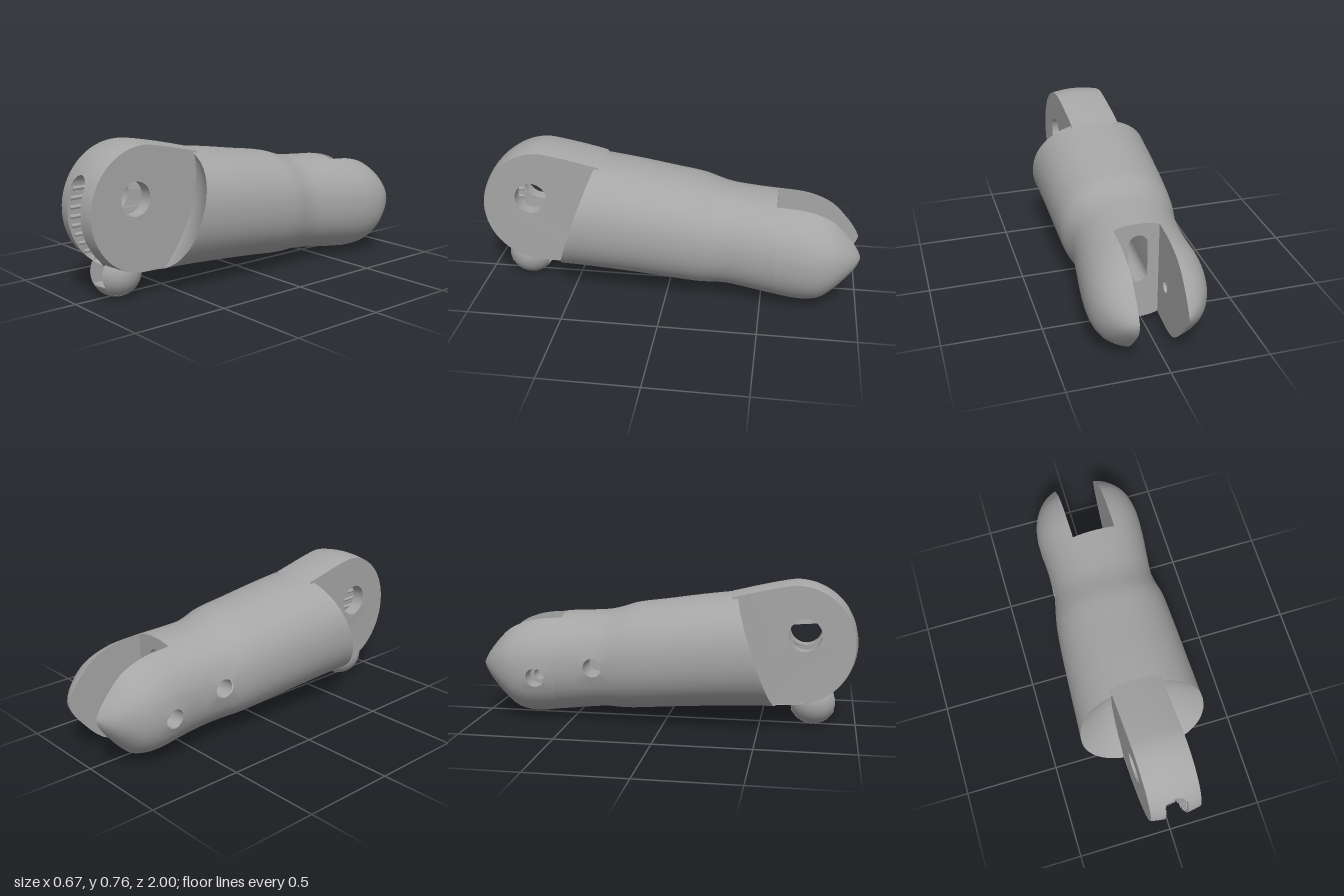
import * as THREE from 'three';
import { toCreasedNormals, mergeGeometries } from 'three/addons/utils/BufferGeometryUtils.js';

const grey = new THREE.MeshStandardMaterial({ color: 0xa6a6a6, side: THREE.DoubleSide });
grey.name = 'plain grey';

// Body cross-sections: z, x min, x max, y min, y max
const SECTIONS = [
  [-1, -.08, .16, .27, .30], [-.985, -.105, .195, .22, .345], [-.94, -.16, .25, .16, .405],
  [-.87, -.21, .30, .08, .48], [-.8, -.24, .326, .025, .52], [-.7, -.255, .335, .01, .548],
  [-.565, -.25, .325, .025, .56], [-.45, -.25, .31, .04, .567], [-.32, -.26, .295, .055, .578],
  [-.25, -.275, .30, .054, .595], [-.17, -.29, .315, .055, .62], [0, -.307, .32, .07, .645],
  [.2, -.32, .322, .085, .675], [.45, -.335, .325, .10, .705], [.6, -.345, .33, .105, .72],
];
const E = 0.91, FLOOR = -.565, FRONT = .2, COLS = 24;
const WALL = { '-1': -.078, '1': .155 };

// Smoothly interpolated section at z
function section(z) {
  const S = SECTIONS, last = S.length - 1;
  let i = 0;
  while (i < last - 1 && z > S[i + 1][0]) i++;
  const slope = (k, c) => {
    const a = S[Math.max(k - 1, 0)], b = S[Math.min(k + 1, last)];
    return (b[c] - a[c]) / (b[0] - a[0]);
  };
  const h = S[i + 1][0] - S[i][0], t = (z - S[i][0]) / h, t2 = t * t, t3 = t2 * t;
  const [xl, xr, yb, yt] = [1, 2, 3, 4].map(c =>
    (2 * t3 - 3 * t2 + 1) * S[i][c] + (t3 - 2 * t2 + t) * h * slope(i, c) +
    (3 * t2 - 2 * t3) * S[i + 1][c] + (t3 - t2) * h * slope(i + 1, c));
  return { cx: (xl + xr) / 2, rx: (xr - xl) / 2, cy: (yb + yt) / 2, ry: (yt - yb) / 2 };
}
const spow = v => Math.sign(v) * Math.abs(v) ** E;
function skinPoint(z, t, s) {
  const q = section(z);
  return [q.cx + s * q.rx * spow(Math.max(Math.cos(t), 0)), q.cy + q.ry * spow(Math.sin(t)), z];
}
function skinX(z, y, s) {
  const q = section(z), v = Math.abs((y - q.cy) / q.ry), n = 2 / E;
  return q.cx + s * q.rx * Math.max(0, 1 - v ** n) ** (1 / n);
}
// Angle at which the section meets the fork wall
function clipAngle(z, s) {
  const q = section(z), c = s * (WALL[s] - q.cx) / q.rx;
  return Math.acos(Math.min(Math.max(c, 0), 1) ** (1 / E));
}
const frontZ = y => .38 + (.70 - y) * .34;

// Quad grid from a point function
function grid(rows, cols, fn, flip = false, skip = () => false) {
  const pos = [], idx = [];
  for (let i = 0; i <= rows; i++) for (let j = 0; j <= cols; j++) pos.push(...fn(i, j));
  for (let i = 0; i < rows; i++) for (let j = 0; j < cols; j++) {
    if (skip(i, j)) continue;
    const a = i * (cols + 1) + j, b = a + 1, c = a + cols + 1, d = c + 1;
    idx.push(...(flip ? [a, c, b, b, c, d] : [a, b, c, b, d, c]));
  }
  const g = new THREE.BufferGeometry();
  g.setAttribute('position', new THREE.Float32BufferAttribute(pos, 3));
  g.setIndex(idx);
  return g.toNonIndexed();
}
// Grid with a round opening, radius r, centred on vertex (i0, j0)
function holedGrid(rows, fn, s, hole) {
  if (!hole) return grid(rows, COLS, fn, s < 0);
  const { i0, j0, r } = hole, [, y0, z0] = fn(i0, j0);
  return grid(rows, COLS, (i, j) => {
    const di = i - i0, dj = j - j0;
    if (Math.max(Math.abs(di), Math.abs(dj)) !== 2) return fn(i, j);
    const a = Math.atan2(dj, di), z = z0 + r * Math.cos(a), y = y0 + r * Math.sin(a);
    return [skinX(z, y, s), y, z];
  }, s < 0, (i, j) => i >= i0 - 2 && i < i0 + 2 && j >= j0 - 2 && j < j0 + 2);
}
// Flat shape drawn in (z, y), standing at x
function plate(points, x, hole) {
  const shape = new THREE.Shape(points.map(p => new THREE.Vector2(p[0], p[1])));
  if (hole) shape.holes.push(new THREE.Path().absarc(hole[0], hole[1], hole[2], 0, Math.PI * 2, true));
  const g = new THREE.ShapeGeometry(shape, 24), p = g.attributes.position;
  for (let i = 0; i < p.count; i++) p.setXYZ(i, x, p.getY(i), p.getX(i));
  return g.toNonIndexed();
}
function tubeX(r, x0, x1, y, z) {
  return new THREE.CylinderGeometry(r, r, Math.abs(x1 - x0), 28, 1, true)
    .rotateZ(Math.PI / 2).translate((x0 + x1) / 2, y, z);
}
// Slight sideways bend of the tongue and tunnel
const bend = z => z > .4 ? .035 * (z - .7) : -.0105 + (.4 - z) * .04;
function bent(g) {
  const p = g.attributes.position;
  for (let i = 0; i < p.count; i++) p.setX(i, p.getX(i) + bend(p.getZ(i)));
  return g;
}

// Tongue rim: round nose running into the body, with a crowned edge
const CZ = .675, CY = .44, R = .325, HALF = .13, SLOT = .058;
function rim(v, x) {
  const d = Math.abs(v) - Math.PI / 2, k = 1 - .045 * (x / HALF) ** 2;
  let z = CZ + R * Math.cos(v), y = CY + R * Math.sin(v);
  if (d > 0) {
    z = CZ - R * d;
    y = v > 0 ? CY + R - .08 * (d / 1.15) ** 1.2 : CY - R - .013 * d;
  }
  return [x, CY + (y - CY) * k, CZ + (z - CZ) * k];
}
const slotEnd = (x, up) => {
  const arc = Math.sqrt(Math.max(0, SLOT * SLOT - x * x));
  return Math.asin(((up > 0 ? .562 + arc : .228 - arc) - CY) / R);
};
const lerp = THREE.MathUtils.lerp;

export function createModel() {
  const group = new THREE.Group();
  const add = (name, parts) => {
    const clean = parts.map(p => {
      const g = p.index ? p.toNonIndexed() : p;
      g.deleteAttribute('uv'); g.deleteAttribute('normal');
      return g;
    });
    const g = mergeGeometries(clean);
    g.computeVertexNormals();
    const mesh = new THREE.Mesh(toCreasedNormals(g, .6), grey);
    mesh.name = name;
    group.add(mesh);
  };

  const earZ = i => -1 + (1 + FLOOR) * (i / 16) ** 1.3;
  const earPt = s => (i, j) => skinPoint(earZ(i), (2 * j / COLS - 1) * clipAngle(earZ(i), s), s);
  const bodyPt = s => (i, j) => {
    const t = (j / COLS - .5) * Math.PI;
    if (i <= 22) return skinPoint(lerp(FLOOR, FRONT, i / 22), t, s);
    const y = skinPoint(.44, t, s)[1];
    return skinPoint(lerp(FRONT, frontZ(y), (i - 22) / 8), t, s);
  };
  const earHole = { i0: 13, j0: 11, r: .05 }, sideHole = { i0: 6, j0: 12, r: .05 };
  const [, hy, hz] = earPt(-1)(earHole.i0, earHole.j0);
  const [sx, sy, sz] = bodyPt(-1)(sideHole.i0, sideHole.j0);

  // Outer sleeve and its dished front face
  add('body', [-1, 1].map(s => holedGrid(30, bodyPt(s), s, s < 0 && sideHole)));
  add('frontDish', [-1, 1].map(s => grid(6, COLS, (i, j) => {
    const [x, y, z] = bodyPt(s)(30, j), f = i / 6;
    const inner = s * Math.min(Math.abs(x), .11);
    const bow = Math.max(0, 1 - ((y - .4) / .3) ** 2);
    return [lerp(x, inner, f), y, z - .09 * bow * Math.sin(f * Math.PI / 2)];
  }, s < 0)));

  // Rear fork: rounded ears with flat inner walls
  for (const s of [-1, 1]) {
    const top = [], bottom = [];
    for (let i = 0; i <= 16; i++) {
      const z = earZ(i), T = clipAngle(z, s);
      if (T < .02) continue;
      top.push([z, skinPoint(z, T, s)[1]]);
      bottom.unshift([z, skinPoint(z, -T, s)[1]]);
    }
    add(s > 0 ? 'leftEar' : 'rightEar', [
      holedGrid(16, earPt(s), s, s < 0 && earHole),
      plate([...top, ...bottom], WALL[s], [hz, hy, .03]),
    ]);
  }
  // Counterbored pin hole, blind hole and side hole
  const disc = (r0, r1, x, y, z) => new THREE.RingGeometry(r0, r1, 28).rotateY(-Math.PI / 2).translate(x, y, z);
  add('earHoles', [
    tubeX(.05, -.25, -.16, hy, hz), disc(.03, .05, -.16, hy, hz), tubeX(.03, -.16, WALL[-1], hy, hz),
    tubeX(.03, WALL[1], .25, hy, hz), disc(.001, .03, .25, hy, hz),
  ]);
  add('sideHole', [tubeX(.05, sx + .004, -.1, sy, sz), disc(.001, .05, -.1, sy, sz)]);

  // Floor of the fork with the tunnel exit
  const edge = [];
  for (const dir of [1, -1]) for (let k = 0; k <= 12; k++) {
    const x = lerp(WALL[-dir], WALL[dir], k / 12), q = section(FLOOR), n = 2 / E;
    edge.push(new THREE.Vector2(x, q.cy + dir * q.ry * (1 - Math.abs((x - q.cx) / q.rx) ** n) ** (1 / n)));
  }
  const floor = new THREE.Shape(edge), bx = bend(FLOOR);
  floor.holes.push(new THREE.Path().absarc(bx, .447, .048, 0, Math.PI, false)
    .absarc(bx, .283, .048, Math.PI, Math.PI * 2, false));
  add('forkFloor', [new THREE.ShapeGeometry(floor, 12).translate(0, 0, FLOOR)]);

  // Front tongue: crowned rim left open at the slot, flat cheeks, pin hole
  const END = 2.6, pin = [.73, .495, .085];
  const outline = Array.from({ length: 61 }, (_, i) => rim(lerp(-END, END, i / 60), HALF)).map(p => [p[2], p[1]]);
  const tongue = [];
  for (const s of [-1, 1]) {
    tongue.push(grid(60, 4, (i, j) => rim(lerp(-END, END, i / 60), s * lerp(SLOT, HALF, j / 4)), s > 0));
    tongue.push(plate(outline, s * HALF, pin));
    tongue.push(tubeX(pin[2], s * SLOT, s * HALF, pin[1], pin[0]));
    tongue.push(grid(24, 12, (i, j) => {
      const x = -SLOT * Math.cos(j / 12 * Math.PI);
      return rim(lerp(slotEnd(x, s), s * END, i / 24), x);
    }, s < 0));
  }
  add('tongue', tongue.map(bent));

  // Tunnel from the tongue slot to the fork floor
  const half = z => .048 + .0068 * (z - FLOOR), tunnel = [];
  for (const s of [-1, 1]) {
    tunnel.push(grid(8, 12, (i, j) => {
      const a = j / 12 * Math.PI, x = -SLOT * Math.cos(a), p = rim(slotEnd(x, s), x);
      const f = i / 8, z = lerp(p[2], FLOOR, f);
      const yBack = (s > 0 ? .447 : .283) + s * .048 * Math.sin(a);
      return [lerp(x, -.048 * Math.cos(a), f), lerp(p[1], yBack, f), z];
    }));
    const wall = [];
    for (let i = 0; i <= 16; i++) {
      const p = rim(lerp(slotEnd(SLOT, -1), slotEnd(SLOT, 1), i / 16), SLOT);
      wall.push([p[2], p[1]]);
    }
    wall.push([.4, .522], [FLOOR, .447], [FLOOR, .283], [.4, .246]);
    const g = plate(wall, 0, pin), p = g.attributes.position;
    for (let i = 0; i < p.count; i++) p.setX(i, s * half(p.getZ(i)));
    tunnel.push(g);
  }
  add('tunnel', tunnel.map(bent));

  // Small grip ribs on the slot walls
  const ribs = [];
  for (const s of [-1, 1]) for (let y = .235; y < .57; y += .045) {
    const z1 = CZ + Math.sqrt(R * R - (y - CY) ** 2) - .015, len = z1 - .82;
    ribs.push(bent(new THREE.CylinderGeometry(.01, .01, len, 8).rotateX(Math.PI / 2).translate(s * SLOT, y, .82 + len / 2)));
  }
  add('slotRibs', ribs);

  // Round knob under the nose with a square passage through it
  const r = .125, lo = Math.acos(.045 / r), hi = Math.acos(-.055 / r), a = Math.acos(.055 / r);
  const ball = (p0, pl, t0, t1) => new THREE.SphereGeometry(r, 32, 16, p0, pl, t0, t1 - t0).rotateZ(Math.PI / 2);
  const cheek = x => new THREE.CircleGeometry(Math.sqrt(r * r - x * x), 32).rotateY(Math.PI / 2).translate(x, 0, 0);
  add('knob', [
    ball(0, Math.PI * 2, 0, lo), ball(0, Math.PI * 2, hi, Math.PI), ball(-a, 2 * a, lo, hi),
    cheek(-.045), cheek(.055),
    new THREE.PlaneGeometry(.1, .21).rotateX(-Math.PI / 2).translate(.005, -.052, 0),
  ].map(g => g.translate(.01, .125, .775)));

  return group;
}
